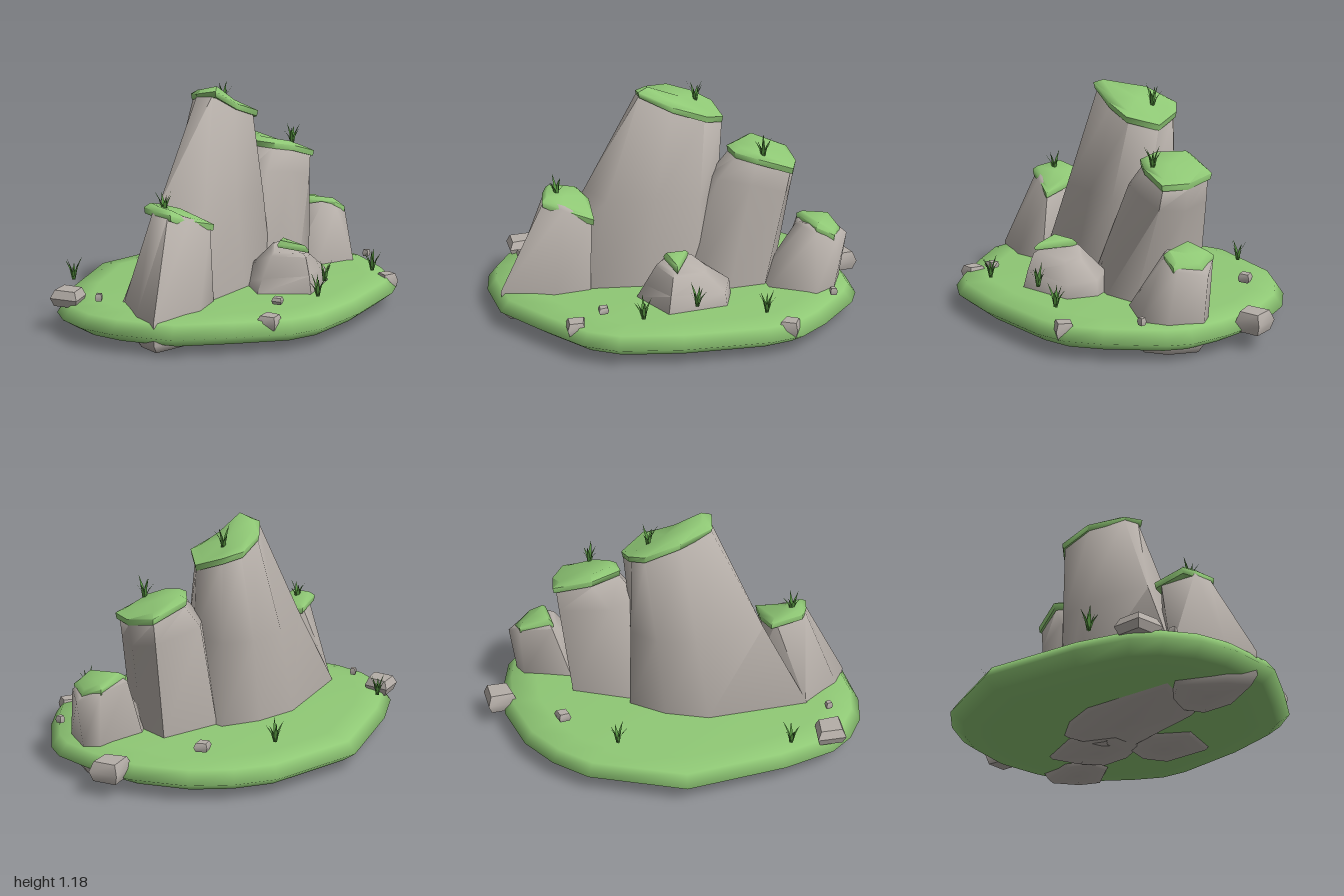
import * as THREE from 'three';
import { toCreasedNormals } from 'three/addons/utils/BufferGeometryUtils.js';

const material = (name, color) => {
  const m = new THREE.MeshStandardMaterial({ color });
  m.name = name;
  return m;
};

const centre = (ring) => [0, 1, 2].map((k) => ring.reduce((s, p) => s + p[k], 0) / ring.length);

// Closed skin through stacked rings, each running left, front, right, back.
function loft(rings, crease) {
  const n = rings[0].length, pos = rings.flat(2), idx = [];
  pos.push(...centre(rings[0]), ...centre(rings.at(-1)));
  const low = n * rings.length, high = low + 1, last = n * (rings.length - 1);
  for (let i = 0; i < n; i++) {
    const j = (i + 1) % n;
    for (let r = 0; r < last; r += n) {
      idx.push(r + i, r + j, r + n + j, r + i, r + n + j, r + n + i);
    }
    idx.push(low, j, i, high, last + i, last + j);
  }
  const g = new THREE.BufferGeometry();
  g.setAttribute('position', new THREE.Float32BufferAttribute(pos, 3));
  g.setIndex(idx);
  return toCreasedNormals(g, crease);
}

// Scales a ring about its centre in plan and lifts it.
function inset(ring, s, lift) {
  const c = centre(ring);
  return ring.map(([x, y, z]) => [c[0] + (x - c[0]) * s, y + lift, c[2] + (z - c[2]) * s]);
}

// Outline of the ground slab, [x, z]
const OUTLINE = [
  [-1, -0.08], [-0.98, 0.1], [-0.87, 0.38], [-0.65, 0.57], [-0.42, 0.75], [-0.25, 0.8], [0.07, 0.78],
  [0.5, 0.69], [0.65, 0.62], [0.77, 0.48], [0.93, 0.22], [0.96, 0.1], [0.93, -0.1], [0.85, -0.35],
  [0.68, -0.58], [0.5, -0.71], [0.3, -0.79], [-0.2, -0.8], [-0.66, -0.55], [-0.88, -0.38], [-0.96, -0.25],
];

// Each rock: base ring [x, z] at ground level, optional mid ring, top ring [x, y, z]
const ROCKS = {
  tallRock: {
    base: [[-0.72, -0.08], [-0.43, 0.24], [-0.12, 0.2], [0.14, 0.17], [0.24, 0], [0.2, -0.24], [0, -0.3], [-0.23, -0.3]],
    mid: [[-0.47, 0.6, -0.07], [-0.34, 0.6, 0.13], [-0.09, 0.6, 0.12], [0.14, 0.6, 0.11], [0.23, 0.6, -0.05], [0.19, 0.6, -0.23], [0.04, 0.6, -0.3], [-0.16, 0.6, -0.28]],
    top: [[-0.19, 1.13, -0.06], [-0.17, 1.14, 0.03], [0, 1.08, 0.03], [0.16, 1.02, 0.02], [0.25, 0.98, -0.1], [0.18, 1.02, -0.22], [0.1, 1.04, -0.27], [-0.06, 1.1, -0.2]],
  },
  rightRock: {
    base: [[0, 0], [0.08, 0.2], [0.3, 0.22], [0.48, 0.16], [0.53, 0], [0.52, -0.18], [0.2, -0.2]],
    mid: [[0.18, 0.69, -0.05], [0.23, 0.7, 0.06], [0.4, 0.68, 0.09], [0.58, 0.64, 0.08], [0.61, 0.63, -0.05], [0.57, 0.66, -0.19], [0.3, 0.7, -0.2]],
    top: [[0.28, 0.82, -0.05], [0.33, 0.82, 0.03], [0.43, 0.8, 0.07], [0.6, 0.75, 0.07], [0.63, 0.74, -0.05], [0.58, 0.77, -0.19], [0.39, 0.82, -0.19]],
  },
  leftRock: {
    base: [[-0.85, 0.14], [-0.88, 0.28], [-0.6, 0.32], [-0.42, 0.25], [-0.4, 0.05], [-0.71, -0.08]],
    top: [[-0.67, 0.62, 0.08], [-0.66, 0.61, 0.17], [-0.55, 0.58, 0.21], [-0.41, 0.53, 0.22], [-0.45, 0.57, 0.05], [-0.53, 0.61, -0.03]],
  },
  smallRightRock: {
    base: [[0.45, 0.06], [0.5, 0.2], [0.74, 0.27], [0.84, 0.17], [0.88, 0], [0.82, -0.06], [0.56, -0.05]],
    top: [[0.64, 0.44, 0.0], [0.67, 0.46, 0.1], [0.74, 0.44, 0.15], [0.85, 0.41, 0.13], [0.91, 0.39, 0], [0.82, 0.44, -0.08], [0.65, 0.46, -0.06]],
  },
  frontRock: {
    base: [[-0.18, 0.33], [-0.01, 0.54], [0.28, 0.43], [0.3, 0.27], [0.2, 0.14], [-0.03, 0.12]],
    mid: [[-0.14, 0.23, 0.33], [0, 0.25, 0.52], [0.27, 0.23, 0.42], [0.29, 0.24, 0.27], [0.2, 0.26, 0.18], [-0.02, 0.28, 0.18]],
    top: [[-0.08, 0.34, 0.34], [0.01, 0.34, 0.49], [0.18, 0.31, 0.39], [0.18, 0.32, 0.3], [0.1, 0.36, 0.26], [-0.02, 0.38, 0.29]],
  },
};

// Grass caps: thickness and rim [x, y, z]
const CAPS = {
  tallRockGrass: [0.03, [[-0.19, 1.14, -0.06], [-0.17, 1.16, 0.05], [0, 1.08, 0.05], [0.17, 1.03, 0.04], [0.25, 0.99, -0.1], [0.19, 1.04, -0.23], [0.1, 1.07, -0.28], [-0.06, 1.12, -0.21]]],
  rightRockGrass: [0.03, [[0.28, 0.85, -0.05], [0.32, 0.84, 0.04], [0.43, 0.82, 0.08], [0.61, 0.77, 0.08], [0.63, 0.77, -0.05], [0.59, 0.8, -0.2], [0.39, 0.86, -0.2]]],
  leftRockGrass: [0.03, [[-0.67, 0.63, 0.1], [-0.66, 0.62, 0.19], [-0.56, 0.58, 0.2], [-0.4, 0.54, 0.23], [-0.44, 0.59, 0.06], [-0.51, 0.61, -0.05], [-0.66, 0.64, 0.02]]],
  smallRightRockGrass: [0.03, [[0.65, 0.48, -0.04], [0.74, 0.47, 0.14], [0.83, 0.43, 0.14], [0.87, 0.42, 0.01], [0.82, 0.46, -0.08]]],
  frontRockGrass: [0.015, [[-0.04, 0.395, 0.35], [0.03, 0.375, 0.49], [0.08, 0.385, 0.28]]],
};

// Loose stones: x, y, z, half-width, half-height, turn
const STONES = [
  [-0.85, 0.175, -0.32, 0.1, 0.04, 0.45], [-0.83, 0.2, -0.13, 0.022, 0.018, 0.2],
  [0.9, 0.13, -0.26, 0.1, 0.05, 0.3], [0.5, 0.21, -0.47, 0.045, 0.022, 0.2],
  [0.82, 0.19, 0.3, 0.024, 0.018, 0.6], [0.59, 0.125, 0.59, 0.065, 0.04, 1.1],
  [-0.33, 0.205, 0.58, 0.036, 0.016, 0.5], [-0.46, 0.14, 0.64, 0.065, 0.032, 0.6],
];

// Grass tufts: x, y, z
const TUFTS = [
  [-0.6, 0.61, 0.09], [0.11, 1.06, -0.14], [0.46, 0.82, 0.05], [-0.67, 0.2, -0.48],
  [0.18, 0.2, -0.63], [0.13, 0.2, 0.52], [0.47, 0.2, 0.58], [-0.13, 0.2, 0.67],
];

// Blades fanning out from one root, each a tapering bent strip
function tuftGeometry() {
  const pos = [];
  for (let i = 0; i < 6; i++) {
    const a = i * 1.05, h = 0.08 + 0.017 * ((i * 2) % 3), reach = 0.05 - 0.012 * (i % 2);
    const c = Math.cos(a), s = Math.sin(a), w = 0.009;
    const at = (r, y, side) => [c * r - s * side, y, s * r + c * side];
    const a0 = at(0.004, 0, -w), b0 = at(0.004, 0, w);
    const a1 = at(reach * 0.4, h * 0.55, -w * 0.8), b1 = at(reach * 0.4, h * 0.55, w * 0.8);
    pos.push(...a0, ...b0, ...b1, ...a0, ...b1, ...a1, ...a1, ...b1, ...at(reach, h, 0));
  }
  const g = new THREE.BufferGeometry();
  g.setAttribute('position', new THREE.Float32BufferAttribute(pos, 3));
  g.computeVertexNormals();
  return g;
}

export function createModel() {
  const model = new THREE.Group();
  model.name = 'rockyOutcrop';
  const grass = material('grass green', 0x8fc875);
  const stone = material('rock grey', 0xb5aea8);
  const blade = material('blade green', 0x569440);
  blade.side = THREE.DoubleSide;
  const add = (name, geometry, mat) => {
    const mesh = new THREE.Mesh(geometry, mat);
    mesh.name = name;
    model.add(mesh);
    return mesh;
  };

  // Ground slab with a rounded rim
  const slab = [[0.7, 0.018], [0.92, 0.04], [1, 0.09], [0.95, 0.15], [0.8, 0.162]];
  add('ground', loft(slab.map(([s, y]) => OUTLINE.map(([x, z]) => [x * s, y, z * s])), Math.PI), grass);

  // Standing rocks, tucked in underneath, with a softened shoulder
  for (const [name, { base, mid, top }] of Object.entries(ROCKS)) {
    const ground = base.map(([x, z]) => [x, 0.16, z]);
    const rings = [inset(ground, 0.85, -0.16), inset(ground, 0.98, -0.12), ground];
    if (mid) rings.push(mid);
    add(name, loft([...rings, top, inset(top, 0.85, 0.015)], 1.2), stone);
  }

  // Grass caps draped over the rock tops
  for (const [name, [thickness, rim]] of Object.entries(CAPS)) {
    add(name, loft([inset(rim, 1, -thickness), inset(rim, 1.03, 0), inset(rim, 0.8, 0.02)], 1.2), grass);
  }

  // Loose stones: skewed four-sided lumps
  STONES.forEach(([x, y, z, r, h, turn], i) => {
    const ring = (s, v) => Array.from({ length: 4 }, (_, k) => {
      const a = Math.PI + turn - k * Math.PI / 2, q = r * s * (1 + 0.15 * Math.sin(k * 2.3 + i));
      return [Math.cos(a) * q, v * h, Math.sin(a) * q];
    });
    add('looseStone' + (i + 1), loft([ring(0.8, -1), ring(1, 0), ring(0.75, 1)], 0.7), stone).position.set(x, y, z);
  });

  // Grass tufts
  const tuft = tuftGeometry();
  TUFTS.forEach(([x, y, z], i) => {
    const mesh = add('grassTuft' + (i + 1), tuft, blade);
    mesh.position.set(x, y, z);
    mesh.rotation.y = i * 1.3;
  });
  return model;
}
